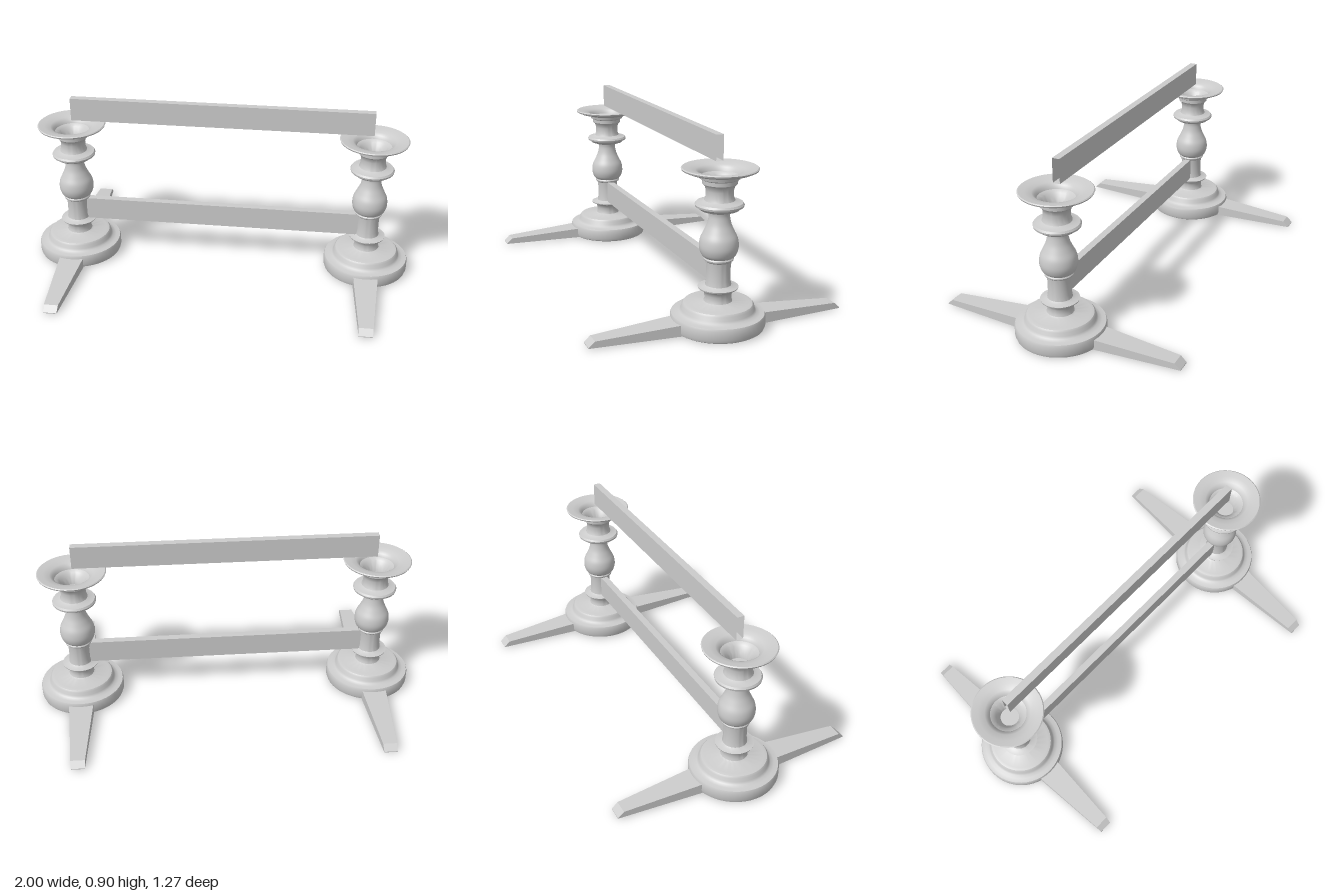
import * as THREE from 'three';
import { toCreasedNormals } from 'three/addons/utils/BufferGeometryUtils.js';

const grey = new THREE.MeshStandardMaterial({ color: 0xcccccc });
const greyOpen = new THREE.MeshStandardMaterial({ color: 0xcccccc, side: THREE.DoubleSide });
const POST_X = 0.78;

function add(parent, name, geometry, material = grey) {
  const mesh = new THREE.Mesh(geometry, material);
  mesh.name = name;
  parent.add(mesh);
  return mesh;
}

// Turned part from [radius, height] pairs, listed from bottom to top
function turned(points) {
  const profile = points.map(([r, y]) => new THREE.Vector2(r, y));
  return toCreasedNormals(new THREE.LatheGeometry(profile, 48), 0.6);
}

// Smooth turned part through the given [radius, height] pairs
function turnedCurve(points, steps) {
  const curve = new THREE.SplineCurve(points.map(([r, y]) => new THREE.Vector2(r, y)));
  return new THREE.LatheGeometry(curve.getPoints(steps), 48);
}

// Foot: a box tapered along z, with a sloped tip
function footGeometry() {
  const g = new THREE.BoxGeometry(1, 1, 1, 1, 1, 2);
  const p = g.attributes.position;
  for (let i = 0; i < p.count; i++) {
    const top = p.getY(i) > 0;
    const s = Math.round((p.getZ(i) + 0.5) * 2); // 0 inner, 1 shoulder, 2 tip
    const z = [0.15, 0.605, 0.635][s];
    const half = [0.067, 0.036, 0.034][s];
    const y = top ? [0.06, 0.035, 0.008][s] : 0.004;
    p.setXYZ(i, Math.sign(p.getX(i)) * half, y, z);
  }
  return toCreasedNormals(g, 0.3);
}

// Bar: four-sided sleeve along x, open at both ends
function barGeometry(length, height, depth) {
  const g = new THREE.CylinderGeometry(Math.SQRT1_2, Math.SQRT1_2, length, 4, 1, true);
  g.rotateY(Math.PI / 4);
  g.rotateZ(Math.PI / 2);
  g.scale(1, height, depth);
  return toCreasedNormals(g, 0.5);
}

function createPost() {
  const post = new THREE.Group();
  post.name = 'post';

  // Stepped round base
  add(post, 'base', turned([
    [0, 0], [0.205, 0], [0.215, 0.006], [0.22, 0.02], [0.22, 0.062], [0.216, 0.072],
    [0.195, 0.074], [0.178, 0.08], [0.17, 0.09], [0.167, 0.108], [0.16, 0.117],
    [0.145, 0.121], [0.075, 0.123], [0.066, 0.128],
  ]));

  // Lower neck with collar, straight shaft and ring
  add(post, 'shaft', turned([
    [0.066, 0.128], [0.062, 0.14], [0.063, 0.16], [0.068, 0.175], [0.076, 0.183],
    [0.092, 0.19], [0.094, 0.196], [0.07, 0.2], [0.06, 0.206], [0.056, 0.23],
    [0.056, 0.29], [0.059, 0.318], [0.068, 0.325], [0.07, 0.332], [0.066, 0.338],
  ]));

  // Pear-shaped bulb
  add(post, 'bulb', turnedCurve([
    [0.066, 0.338], [0.08, 0.352], [0.09, 0.385], [0.086, 0.425],
    [0.07, 0.46], [0.055, 0.495], [0.048, 0.53], [0.05, 0.55],
  ], 28));

  // Double disc below the cup
  add(post, 'disc', turned([
    [0.05, 0.55], [0.068, 0.554], [0.074, 0.56], [0.09, 0.562], [0.098, 0.57],
    [0.11, 0.577], [0.112, 0.586], [0.106, 0.595], [0.085, 0.598], [0.07, 0.605],
  ]));

  // Cup with flared rim and stepped hollow
  add(post, 'cup', turned([
    [0.07, 0.605], [0.064, 0.62], [0.063, 0.65], [0.069, 0.672], [0.08, 0.682],
    [0.081, 0.7], [0.092, 0.706], [0.096, 0.72], [0.12, 0.727], [0.15, 0.734],
    [0.172, 0.744], [0.175, 0.751], [0.17, 0.755], [0.14, 0.75], [0.11, 0.742],
    [0.095, 0.732], [0.088, 0.715], [0.07, 0.705], [0.062, 0.69], [0.05, 0.675],
    [0.045, 0.65], [0, 0.65],
  ]), greyOpen);

  // Front and back feet
  for (const turn of [0, Math.PI]) {
    add(post, turn ? 'backFoot' : 'frontFoot', footGeometry()).rotation.y = turn;
  }
  return post;
}

export function createModel() {
  const model = new THREE.Group();
  model.name = 'firedogs';

  for (const side of [-1, 1]) {
    const post = createPost();
    post.name = side > 0 ? 'leftPost' : 'rightPost';
    post.position.x = side * POST_X;
    model.add(post);
  }

  // Stretcher between the shafts and the loose bar above the cups
  const bar = barGeometry(1.55, 0.12, 0.036);
  add(model, 'lowerBar', bar, greyOpen).position.y = 0.262;
  add(model, 'upperBar', bar, greyOpen).position.y = 0.84;
  return model;
}
